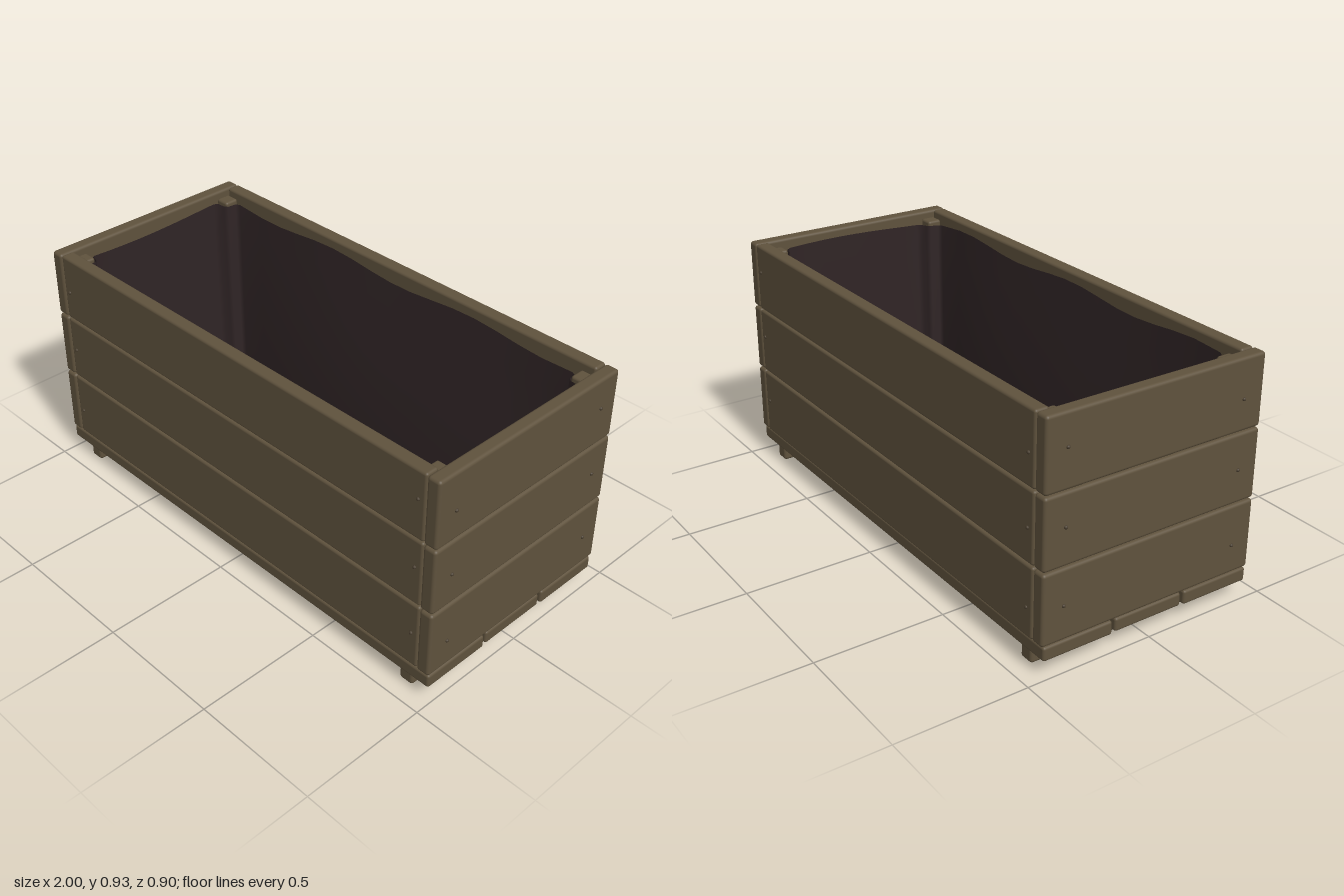
import * as THREE from 'three';
import { RoundedBoxGeometry } from 'three/addons/geometries/RoundedBoxGeometry.js';

const wood = new THREE.MeshStandardMaterial({ color: 0x5f523d });
wood.name = 'weathered wood';
const lining = new THREE.MeshStandardMaterial({ color: 0x2f2425, side: THREE.DoubleSide });
lining.name = 'dark lining';
const iron = new THREE.MeshStandardMaterial({ color: 0x4a3f30 });
iron.name = 'nail iron';

export function createModel() {
  const group = new THREE.Group();

  // A plank given by its extents, with softened edges
  function plank(name, [x0, x1], [y0, y1], [z0, z1], radius = 0.01) {
    const geometry = new RoundedBoxGeometry(x1 - x0, y1 - y0, z1 - z0, 3, radius);
    const mesh = new THREE.Mesh(geometry, wood);
    mesh.name = name;
    mesh.position.set((x0 + x1) / 2, (y0 + y1) / 2, (z0 + z1) / 2);
    group.add(mesh);
  }

  // Domed nail head on a wall facing along x or z
  function nail(x, y, z, axis, sign) {
    const geometry = new THREE.SphereGeometry(0.007, 10, 5, 0, Math.PI * 2, 0, Math.PI / 2);
    if (axis === 'x') geometry.rotateZ(-sign * Math.PI / 2);
    else geometry.rotateX(sign * Math.PI / 2);
    const mesh = new THREE.Mesh(geometry, iron);
    mesh.name = 'nail';
    mesh.position.set(x, y, z);
    group.add(mesh);
  }

  // Foot rails
  for (const s of [-1, 1]) {
    plank('footRail', [s * 0.876 - 0.03, s * 0.876 + 0.03], [0, 0.064], [-0.42, 0.424], 0.012);
  }

  // Floor planks
  plank('floorPlank', [-0.99, 0.99], [0.061, 0.115], [0.157, 0.44]);
  plank('floorPlank', [-0.988, 0.988], [0.063, 0.115], [-0.139, 0.145]);
  plank('floorPlank', [-0.99, 0.99], [0.061, 0.115], [-0.434, -0.152]);

  // Three courses of wall boards with their nails
  const courses = [[0.118, 0.386], [0.392, 0.656], [0.661, 0.929]];
  const nailHeights = [[0.23, 0.25], [0.52, 0.535], [0.78, 0.81]];
  courses.forEach((span, i) => {
    for (const s of [-1, 1]) {
      plank('endBoard', s > 0 ? [0.937, 0.991] : [-0.991, -0.937], span, [-0.443, 0.445], 0.012);
      plank('longBoard', [-0.935, 0.935], span, s > 0 ? [0.388, 0.442] : [-0.443, -0.389]);
      nail(s * 0.991, nailHeights[i][0], 0.36, 'x', s);
      nail(s * 0.991, nailHeights[i][1], -0.36, 'x', s);
      nail(0.905, nailHeights[i][1] + 0.01, s * 0.442, 'z', s);
      nail(-0.905, nailHeights[i][0], s * 0.442, 'z', s);
    }
  });

  // Corner posts
  for (const sx of [-1, 1]) for (const sz of [-1, 1]) {
    plank('cornerPost',
      sx > 0 ? [0.878, 0.938] : [-0.938, -0.878], [0.116, 0.9],
      sz > 0 ? [0.33, 0.39] : [-0.39, -0.33]);
  }

  // Lining outline: sags between the posts and wraps around them
  const quarter = [];
  for (let i = 0; i <= 4; i++) quarter.push([0.925, 0.3 * i / 4]);
  quarter.push([0.915, 0.316], [0.885, 0.322], [0.872, 0.334], [0.866, 0.368], [0.85, 0.378]);
  for (let i = 7; i >= 0; i--) quarter.push([0.82 * i / 8, 0.38]);
  const rest = quarter.slice(0, -1);
  const outline = [
    ...rest,
    ...quarter.slice(1).reverse().map(([x, z]) => [-x, z]),
    ...rest.map(([x, z]) => [-x, -z]),
    ...quarter.slice(1).reverse().map(([x, z]) => [x, -z]),
  ];
  const n = outline.length;

  // Lining wall: outline loops from the wavy rim down to the base
  const rows = 8;
  const positions = [];
  const indices = [];
  for (let r = 0; r <= rows; r++) {
    const t = r / rows;
    for (const [x, z] of outline) {
      const wave = 0.012 * Math.sin(x * 9 + z * 5) * (1 - t);
      const slack = 0.055 * Math.sin(Math.PI * t / 2);
      const bulge = Math.max(0, 1 - (x / 0.9) ** 2);
      positions.push(
        x * (1 - 0.02 * t),
        0.885 + wave - t * (0.755 + 0),
        z - Math.sign(z) * Math.min(Math.abs(z), slack * bulge * Math.min(1, Math.abs(z) / 0.38)));
    }
  }
  for (let r = 0; r < rows; r++) for (let i = 0; i < n; i++) {
    const a = r * n + i, b = r * n + (i + 1) % n;
    indices.push(a, b, a + n, b, b + n, a + n);
  }
  const wall = new THREE.BufferGeometry();
  wall.setAttribute('position', new THREE.Float32BufferAttribute(positions, 3));
  wall.setIndex(indices);
  wall.computeVertexNormals();
  const liningWall = new THREE.Mesh(wall, lining);
  liningWall.name = 'liningWall';
  group.add(liningWall);

  // Lining base
  const base = new THREE.ShapeGeometry(new THREE.Shape(
    outline.map((p, i) => {
      const k = (rows * n + i) * 3;
      return new THREE.Vector2(positions[k], -positions[k + 2]);
    })));
  base.rotateX(-Math.PI / 2);
  const liningBase = new THREE.Mesh(base, lining);
  liningBase.name = 'liningBase';
  liningBase.position.y = 0.13;
  group.add(liningBase);

  return group;
}
